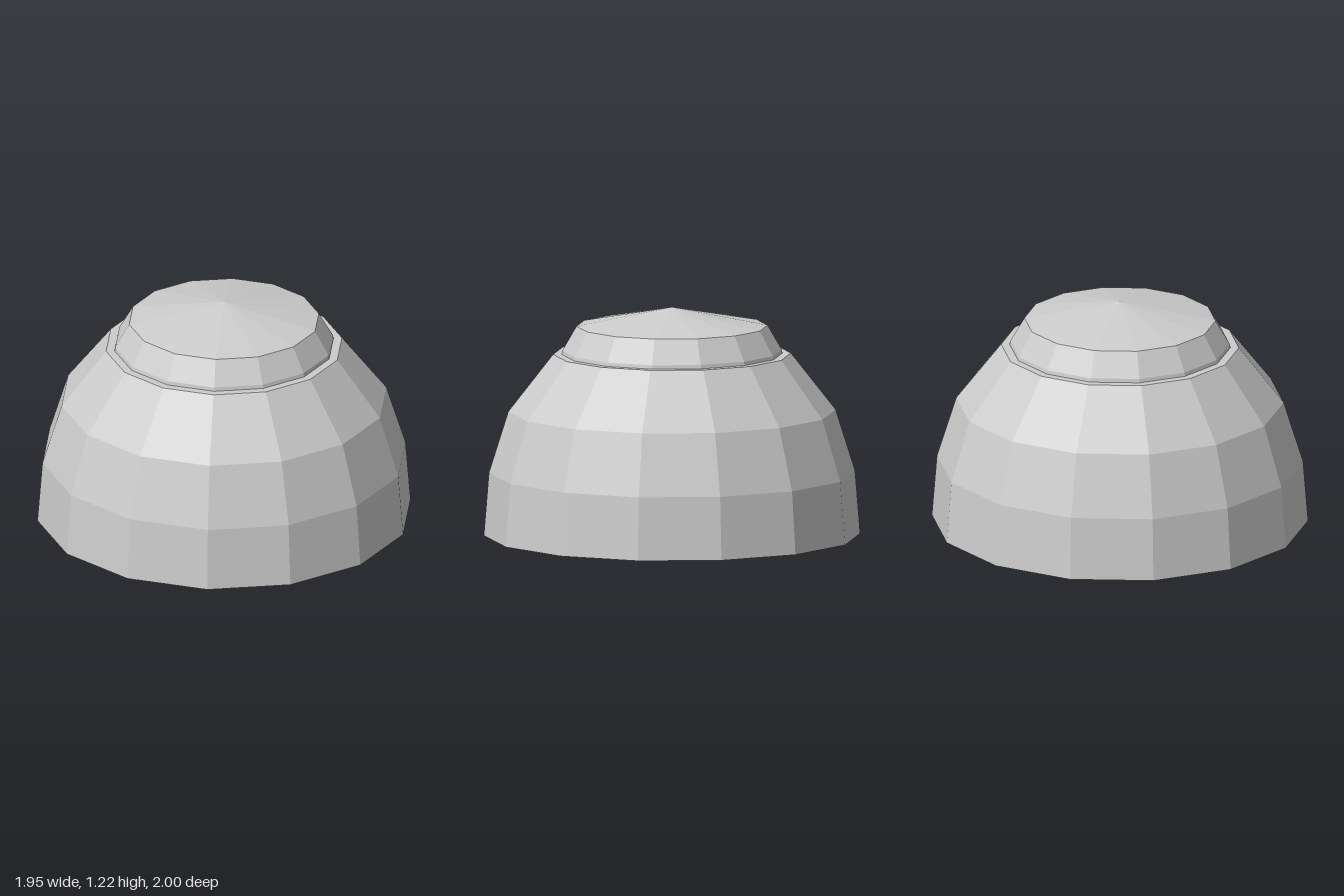
import * as THREE from 'three';

const SIDES = 14;

export function createModel() {
  const group = new THREE.Group();

  const grey = new THREE.MeshStandardMaterial({
    color: 0xcccccc, flatShading: true, side: THREE.DoubleSide,
  });
  grey.name = 'light grey';

  // Faceted shell turned from [radius, height] pairs, bottom to top
  const addShell = (name, profile) => {
    const points = profile.map(([r, y]) => new THREE.Vector2(r, y));
    const mesh = new THREE.Mesh(new THREE.LatheGeometry(points, SIDES), grey);
    mesh.name = name;
    group.add(mesh);
  };

  // Open-bottomed outer dome with a flat lip around the cap
  addShell('outerDome', [
    [1, 0], [0.973, 0.337], [0.87, 0.665], [0.632, 0.97], [0.587, 0.97],
  ]);

  // Inner cap: its skirt hangs inside the dome, its shallow cone closes the top
  addShell('innerCap', [
    [0.64, 0.57], [0.62, 0.79], [0.583, 0.99], [0.508, 1.12], [0, 1.22],
  ]);

  return group;
}
